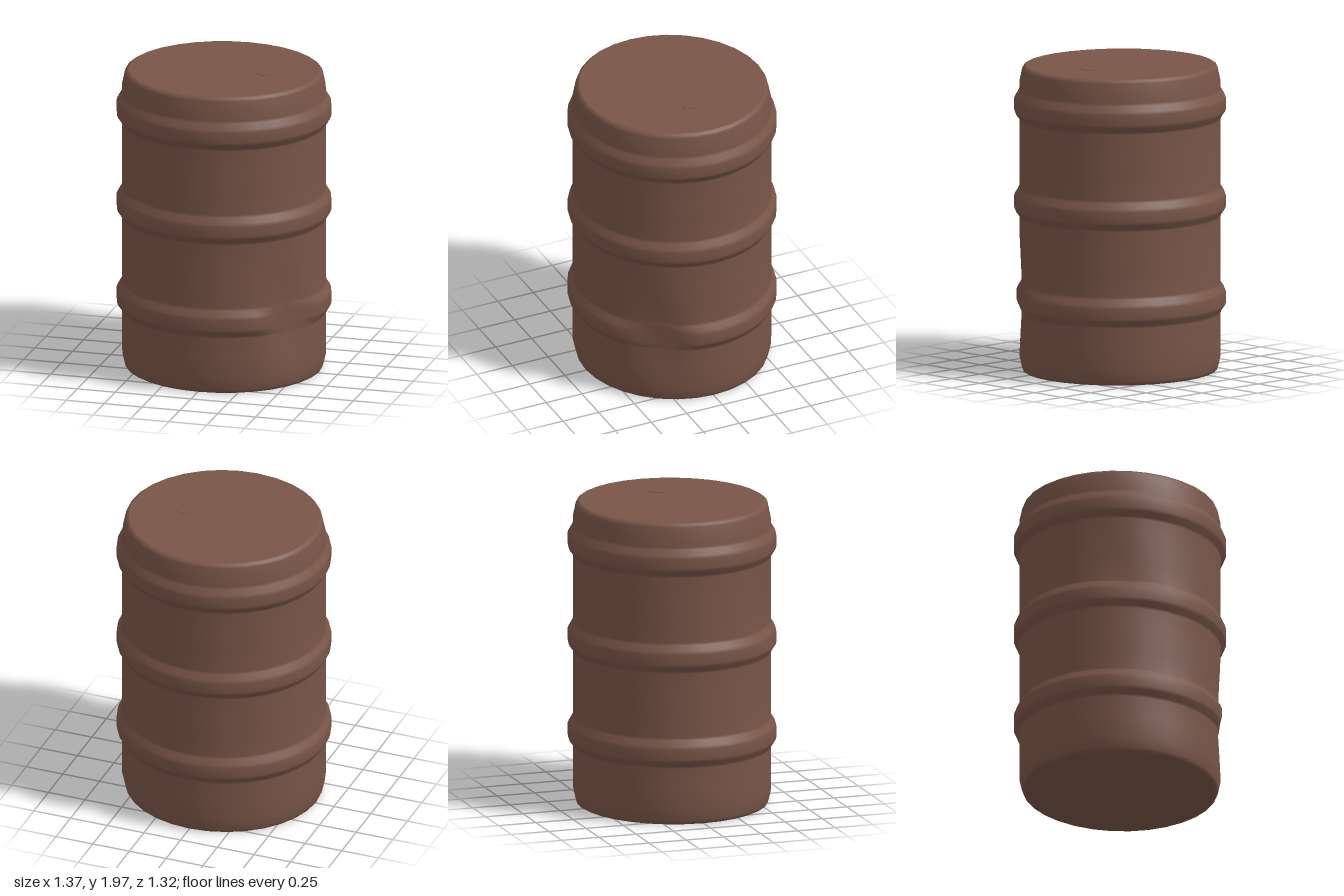
import * as THREE from 'three';
import { mergeVertices } from 'three/addons/utils/BufferGeometryUtils.js';

const SIDES = 32;
const DEPTH_SCALE = 0.965; // the drum is very slightly oval

// Smooth bump: 1 at the centre, 0 at either end
function bump(v, start, centre, end) {
  const t = v < centre ? (v - start) / (centre - start) : (end - v) / (end - centre);
  return THREE.MathUtils.smoothstep(t, 0, 1);
}

// Closed outline of the wall, bottom to top, with three rolled hoops
function wallProfile() {
  const points = [[0.615, 0.005], [0.628, 0.012], [0.634, 0.03], [0.65, 0.1], [0.65, 0.24]];
  for (const y of [0.475, 1.095, 1.72]) {
    points.push(
      [0.65, y - 0.1], [0.655, y - 0.085], [0.678, y - 0.055], [0.685, y - 0.035],
      [0.685, y + 0.03], [0.678, y + 0.05], [0.656, y + 0.085], [0.65, y + 0.1],
    );
    if (y < 1.7) points.push([0.65, y + 0.22], [0.65, y + 0.4]);
  }
  points.push([0.65, 1.86], [0.632, 1.945], [0.626, 1.96], [0.61, 1.97]);
  return points.map(([r, y]) => new THREE.Vector2(r, y));
}

// Push the wall in where the drum has been knocked
function dentWall(geometry) {
  const p = geometry.attributes.position;
  for (let i = 0; i < p.count; i++) {
    const x = p.getX(i), y = p.getY(i), z = p.getZ(i);
    const angle = THREE.MathUtils.radToDeg(Math.atan2(z, x));
    let r = Math.hypot(x, z);
    // crushed lower hoop, front left
    if (y > 0.38 && y < 0.57 && angle > 15 && angle < 46) r = Math.min(r, 0.656);
    r -= 0.045 * bump(angle, 20, 36, 52) * bump(y, 0.05, 0.47, 0.98);
    // shallow knock above the middle hoop, front right
    r -= 0.025 * bump(angle, 112, 129, 146) * bump(y, 0.99, 1.22, 1.65);
    const k = r / Math.hypot(x, z);
    p.setXYZ(i, x * k, y, z * k);
  }
}

export function createModel() {
  const group = new THREE.Group();
  group.name = 'drum';
  const brown = new THREE.MeshStandardMaterial({ color: 0x795548 });
  brown.name = 'brown paint';

  const add = (name, geometry) => {
    const mesh = new THREE.Mesh(geometry, brown);
    mesh.name = name;
    group.add(mesh);
    return mesh;
  };

  // Wall with hoops and dents, welded at the seam for smooth shading
  let wall = new THREE.LatheGeometry(wallProfile(), SIDES);
  wall.deleteAttribute('uv');
  wall.deleteAttribute('normal');
  wall = mergeVertices(wall, 1e-4);
  dentWall(wall);
  wall.scale(1, 1, DEPTH_SCALE);
  wall.computeVertexNormals();
  add('wall', wall);

  // Flat lid and base
  const lid = new THREE.CircleGeometry(0.61, SIDES).rotateX(-Math.PI / 2).scale(1, 1, DEPTH_SCALE);
  add('lid', lid).position.y = 1.97;
  const base = new THREE.CircleGeometry(0.615, SIDES).rotateX(Math.PI / 2).scale(1, 1, DEPTH_SCALE);
  add('base', base).position.y = 0.005;

  // Filler plug almost flush with the lid
  const plug = new THREE.CylinderGeometry(0.06, 0.06, 0.004, 10);
  add('fillerPlug', plug).position.set(0.268, 1.971, 0);

  return group;
}
